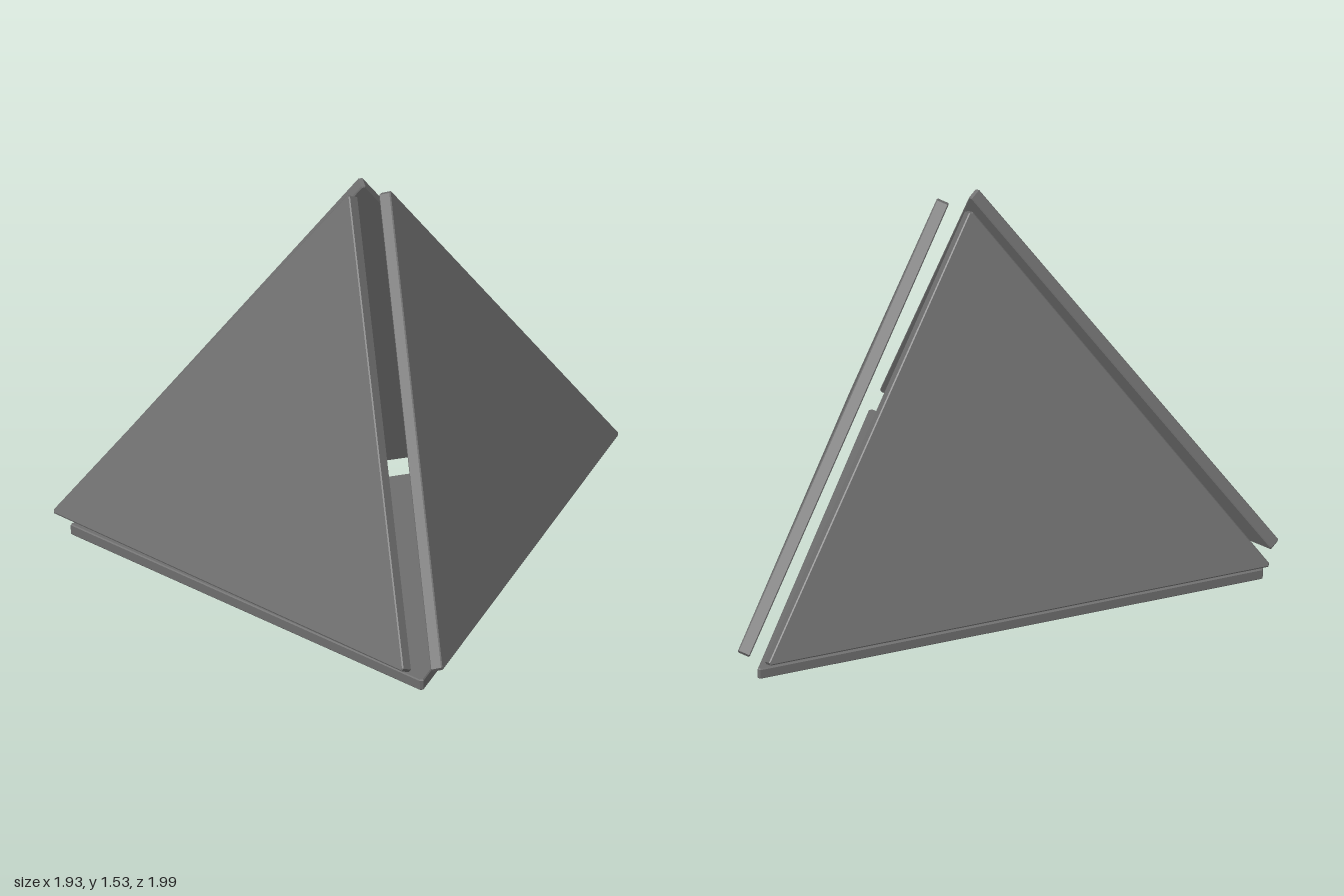
import * as THREE from 'three';

const material = new THREE.MeshStandardMaterial({ color: 0x6e6e6e, flatShading: true });

// Flat triangular plate: outer-face corners counter-clockwise from outside, thickness going inwards
function panel(name, corners, thickness) {
  const [a, b, c] = corners.map((p) => new THREE.Vector3(...p));
  const xAxis = b.clone().sub(a).normalize();
  const normal = xAxis.clone().cross(c.clone().sub(a)).normalize();
  const yAxis = normal.clone().cross(xAxis);
  const flat = [a, b, c].map((p) => {
    const d = p.clone().sub(a);
    return new THREE.Vector2(d.dot(xAxis), d.dot(yAxis));
  });

  // Slightly blunted corners
  const cut = 0.014;
  const shape = new THREE.Shape();
  flat.forEach((p, i) => {
    const toward = (q) => p.clone().add(q.clone().sub(p).setLength(cut));
    const start = toward(flat[(i + 2) % 3]);
    const end = toward(flat[(i + 1) % 3]);
    if (i === 0) shape.moveTo(start.x, start.y);
    else shape.lineTo(start.x, start.y);
    shape.lineTo(end.x, end.y);
  });
  shape.closePath();

  // Fine chamfer along the rims
  const bevel = 0.004;
  const geometry = new THREE.ExtrudeGeometry(shape, {
    depth: thickness - 2 * bevel,
    bevelThickness: bevel,
    bevelSize: bevel,
    bevelOffset: -bevel,
    bevelSegments: 1,
  });
  geometry.translate(0, 0, bevel - thickness);
  geometry.applyMatrix4(new THREE.Matrix4().makeBasis(xAxis, yAxis, normal).setPosition(a));
  const mesh = new THREE.Mesh(geometry, material);
  mesh.name = name;
  return mesh;
}

export function createModel() {
  const group = new THREE.Group();
  group.name = 'tetrahedronOfPanels';
  group.add(
    // Three leaning sides
    panel('frontPanel', [[-0.203, 1.532, 0.073], [-0.84, 0.116, 1.003], [0.97, 0.128, 0.073]], 0.048),
    panel('backPanel', [[-0.203, 1.532, -0.082], [0.97, 0.126, -0.073], [-0.813, 0.1, -1.003]], 0.048),
    panel('leftPanel', [[-0.341, 1.538, 0], [-0.954, 0.117, -0.932], [-0.97, 0.131, 0.932]], 0.048),
    // Nearly level base
    panel('basePanel', [[0.936, 0.027, 0.006], [-0.877, 0.022, 0.937], [-0.867, 0.0, -0.93]], 0.042),
  );
  return group;
}
